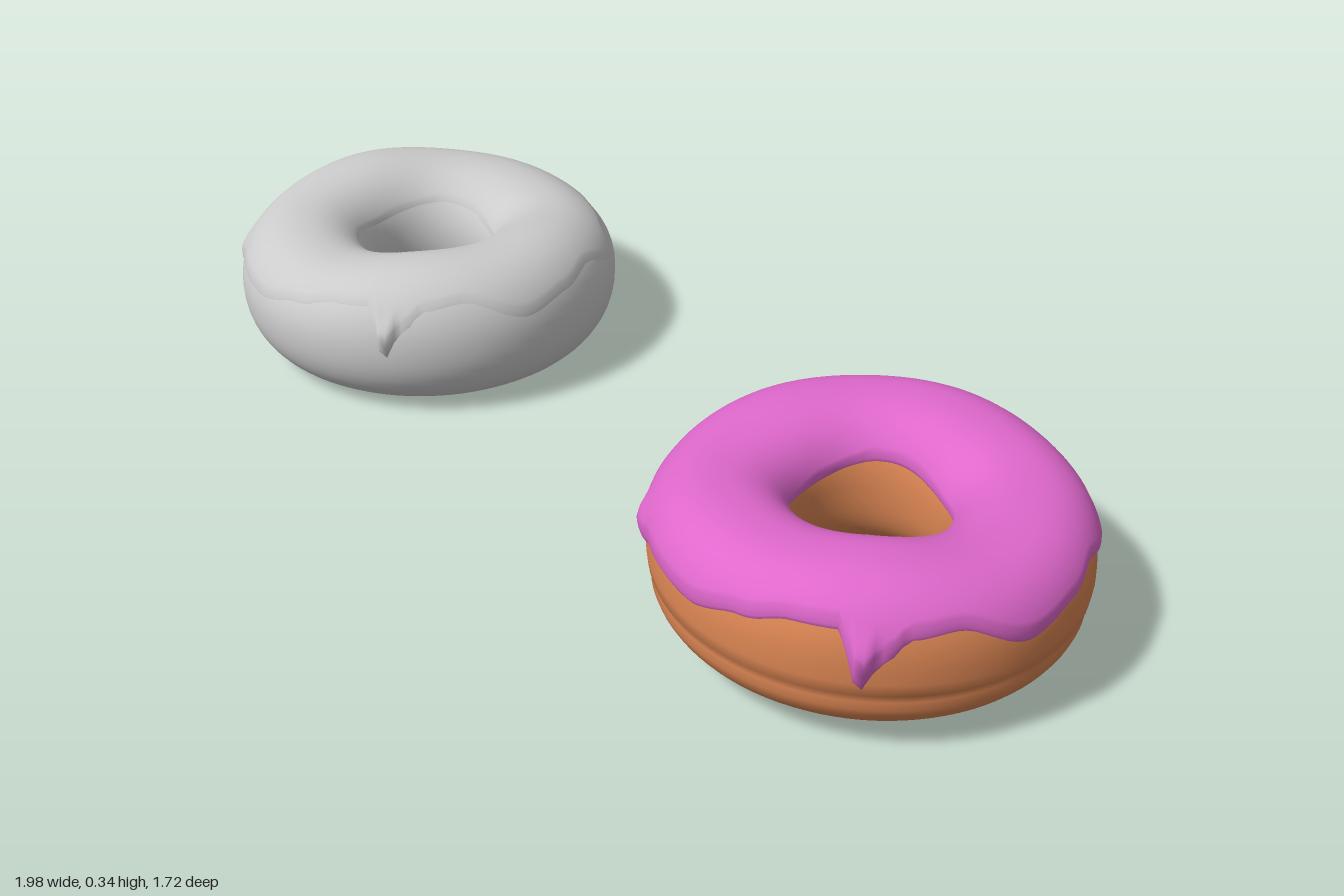
import * as THREE from 'three';
import { ParametricGeometry } from 'three/addons/geometries/ParametricGeometry.js';

const TAU = Math.PI * 2;
const spow = (v, e) => Math.sign(v) * Math.pow(Math.abs(v), e);

// Lower edge of the icing round the outside: [angle in degrees, height]
const DRIPS = [
  [-7, 0.2], [10, 0.24], [24, 0.22], [40, 0.2], [60, 0.25], [72, 0.24], [79, 0.2], [84, 0.15],
  [90, 0.25], [102, 0.25], [115, 0.23], [132, 0.2], [156, 0.2], [169, 0.16], [180, 0.22],
  [195, 0.25], [215, 0.2], [238, 0.24], [252, 0.23], [260, 0.15], [272, 0.2], [285, 0.18],
  [296, 0.17], [307, 0.22], [326, 0.25], [342, 0.24],
];

// Smooth periodic lookup of the drip edge
function dripHeight(theta) {
  let deg = ((theta * 360 / TAU) % 360 + 360) % 360;
  if (deg >= 353) deg -= 360;
  for (let i = 0; i < DRIPS.length; i++) {
    const [a, ya] = DRIPS[i];
    const next = DRIPS[(i + 1) % DRIPS.length];
    const b = i + 1 < DRIPS.length ? next[0] : next[0] + 360;
    if (deg >= a && deg <= b) {
      const t = (deg - a) / (b - a);
      return ya + (next[1] - ya) * t * t * (3 - 2 * t);
    }
  }
  return DRIPS[0][1];
}

// Point on a ring whose section is a soft superellipse with an uneven top
function ringPoint(s, theta, phi, offset, target) {
  const c = spow(Math.cos(phi), 2 / s.n), k = spow(Math.sin(phi), 2 / s.n);
  const rise = s.top + s.wave * Math.cos(2 * (theta - s.waveAngle))
    + 0.003 * Math.sin(5 * theta + 1);
  const y = s.mid + k * ((k > 0 ? rise : s.bottom) + offset);
  let r = s.radius + c * (s.width + offset);
  // pressed line round the outer side
  if (c > 0) r -= s.groove * Math.exp(-(((y - 0.125) / 0.014) ** 2));
  target.set(r * Math.cos(theta), y, r * Math.sin(theta));
}

function dough(s) {
  return new ParametricGeometry((u, v, p) => ringPoint(s, -u * TAU, v * TAU, 0, p), 96, 48);
}

// Icing: a coat from the drip edge over the top and a little into the hole
function icing(s) {
  const edgeAngle = (y) => {
    const k = (y - s.mid) / s.top;
    return Math.asin(spow(THREE.MathUtils.clamp(k, -0.95, 0.95), s.n / 2));
  };
  return new ParametricGeometry((u, v, p) => {
    const theta = -u * TAU;
    const edge = dripHeight(theta);
    const start = edgeAngle(edge);
    const end = Math.PI - edgeAngle(0.225 + 0.012 * Math.sin(3 * theta));
    const phi = start + (end - start) * v;
    // rounded rims, thicker where the icing has run down
    const rim = Math.sqrt(Math.min(1, 12 * v, 12 * (1 - v)));
    const bead = Math.max(0, 0.19 - edge) * 0.3 * Math.exp(-(((v - 0.09) / 0.08) ** 2));
    ringPoint(s, theta, phi, (s.coat + 0.004) * rim - 0.004 + bead, p);
  }, 160, 36);
}

function makeDonut(name, s) {
  const donut = new THREE.Group();
  donut.name = name;
  const add = (part, geometry, color) => {
    const mesh = new THREE.Mesh(geometry, new THREE.MeshStandardMaterial({ color }));
    mesh.name = part;
    donut.add(mesh);
  };
  add('dough', dough(s), s.doughColor);
  add('icing', icing(s), s.icingColor);
  donut.position.set(s.x, 0, s.z);
  return donut;
}

export function createModel() {
  const model = new THREE.Group();
  model.name = 'donuts';
  model.add(
    makeDonut('plainDonut', {
      x: -0.57, z: -0.43, radius: 0.281, width: 0.147, n: 2.15, mid: 0.155, bottom: 0.155,
      top: 0.15, wave: 0.013, waveAngle: Math.PI / 4, groove: 0, coat: 0.003,
      doughColor: 0xcccccc, icingColor: 0xcccccc,
    }),
    makeDonut('icedDonut', {
      x: 0.575, z: 0.43, radius: 0.275, width: 0.132, n: 2.4, mid: 0.165, bottom: 0.135,
      top: 0.148, wave: 0.011, waveAngle: Math.PI / 2, groove: 0.007, coat: 0.012,
      doughColor: 0xd98452, icingColor: 0xdf68cc,
    }),
  );
  return model;
}
